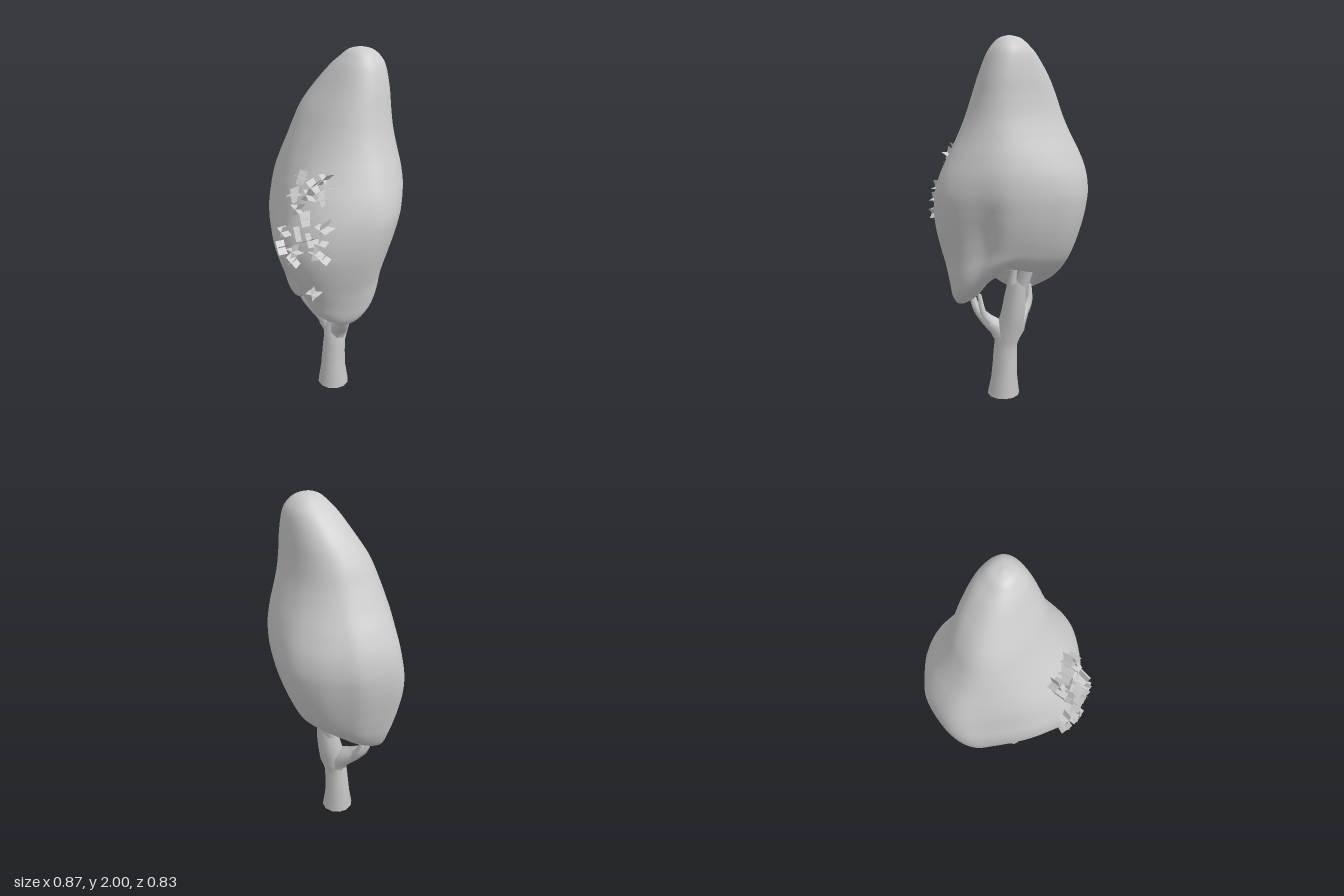
import * as THREE from 'three';
import { mergeVertices } from 'three/addons/utils/BufferGeometryUtils.js';

const V = (x, y, z) => new THREE.Vector3(x, y, z);
const smooth = (pts, closed) => new THREE.CatmullRomCurve3(pts.map(p => V(...p)), closed, 'catmullrom');

// Canopy cross-sections from the hollow underside to the top: y, xMin, xMax, zMin, zMax
const SECTIONS = [
  [0.74, 0, 0, -0.03, -0.03], [0.69, -0.10, 0.12, -0.10, 0.07], [0.61, -0.16, 0.20, -0.16, 0.14],
  [0.57, -0.23, 0.28, -0.21, 0.22], [0.61, -0.295, 0.325, -0.25, 0.26], [0.70, -0.34, 0.345, -0.30, 0.29],
  [0.80, -0.37, 0.36, -0.335, 0.33], [0.90, -0.395, 0.385, -0.362, 0.36], [1.00, -0.417, 0.41, -0.384, 0.375],
  [1.10, -0.432, 0.428, -0.40, 0.367], [1.20, -0.435, 0.435, -0.408, 0.337], [1.30, -0.416, 0.415, -0.395, 0.295],
  [1.40, -0.372, 0.375, -0.36, 0.242], [1.50, -0.315, 0.33, -0.317, 0.19], [1.60, -0.263, 0.293, -0.282, 0.143],
  [1.70, -0.215, 0.267, -0.264, 0.10], [1.80, -0.15, 0.245, -0.255, 0.05], [1.90, -0.065, 0.213, -0.24, 0.00],
  [1.95, -0.01, 0.183, -0.217, -0.035], [1.985, 0.035, 0.143, -0.178, -0.07], [2.00, 0.09, 0.09, -0.12, -0.12],
];
// Widest outline seen from above, from +x towards +z
const OUTLINE = [
  [0.435, 0.03], [0.41, 0.12], [0.32, 0.25], [0.22, 0.33], [0.1, 0.365], [0, 0.345], [-0.13, 0.29],
  [-0.3, 0.175], [-0.4, 0.1], [-0.435, 0], [-0.41, -0.16], [-0.35, -0.25], [-0.25, -0.35], [-0.11, -0.41],
  [0.05, -0.38], [0.2, -0.32], [0.3, -0.25], [0.37, -0.16], [0.42, -0.06],
];
// Height of the lower rim every 30 degrees: two front lobes, raised back
const RIM = smooth([0.63, 0.555, 0.59, 0.665, 0.605, 0.565, 0.615, 0.68, 0.74, 0.775, 0.795, 0.73]
  .map(y => [0, y, 0]), true);

const bump = (d, w) => Math.exp(-(d * d) / (w * w));
const soften = v => Math.sign(v) * Math.abs(v) ** 0.84;

function canopyGeometry() {
  const around = 96, rows = 100, turn = Math.PI * 2;
  const xs = smooth(SECTIONS.map(s => [s[1], s[0], s[2]]));
  const zs = smooth(SECTIONS.map(s => [s[3], s[0], s[4]]));
  const outline = smooth(OUTLINE.map(([x, z]) => [x / 0.435, 0, (z + 0.0225) / 0.3875]), true);
  const pos = [], index = [];
  for (let j = 0; j <= rows; j++) {
    const X = xs.getPoint(j / rows), Z = zs.getPoint(j / rows), y = X.y;
    const width = X.z - X.x;
    const low = THREE.MathUtils.clamp((1.25 - y) / 0.68, 0, 1) ** 1.6 * THREE.MathUtils.smoothstep(width, -0.1, 0.45);
    const round = THREE.MathUtils.smoothstep(y, 1.15, 1.75);
    for (let i = 0; i < around; i++) {
      const p = outline.getPoint(i / around), a = Math.atan2(p.z, p.x);
      // The upper part is a rounded square, drawn out a little to the back right
      p.lerp(V(soften(Math.cos(a + 0.06)), 0, soften(Math.sin(a - 0.06))), round);
      // Front valley between the lobes and the slanting fold on the back right
      const fold = a + 0.62 - 0.45 * THREE.MathUtils.clamp(1.1 - y, 0, 0.4);
      const k = 1 - 0.11 * bump(a - 1.7, 0.42) * bump(y - 0.68, 0.17)
        - 0.11 * bump(fold, 0.26) * bump(y - 0.92, 0.28);
      pos.push(
        (X.x + X.z) / 2 + (width / 2) * p.x * k,
        y + (RIM.getPoint((a / turn + 1) % 1).y - 0.57) * low,
        (Z.x + Z.z) / 2 + ((Z.z - Z.x) / 2) * p.z * k);
      if (j < rows) {
        const b = j * around, n = (i + 1) % around;
        index.push(b + i, b + around + i, b + n, b + n, b + around + i, b + around + n);
      }
    }
  }
  const raw = new THREE.BufferGeometry();
  raw.setAttribute('position', new THREE.Float32BufferAttribute(pos, 3));
  raw.setIndex(index);
  const g = mergeVertices(raw, 1e-5);
  g.computeVertexNormals();
  return g;
}

// Tapered tube along a curve, closed at its tip
function limbGeometry(points, radii, sides, seg = 20) {
  const curve = smooth(points);
  const g = new THREE.TubeGeometry(curve, seg, 1, sides, false);
  const p = g.attributes.position, v = V(0, 0, 0);
  for (let i = 0; i <= seg; i++) {
    const c = curve.getPointAt(i / seg);
    const f = (i / seg) * (radii.length - 1), n = Math.min(Math.floor(f), radii.length - 2);
    const r = i === seg ? 0 : THREE.MathUtils.lerp(radii[n], radii[n + 1], f - n);
    for (let s = 0; s <= sides; s++) {
      const k = i * (sides + 1) + s;
      v.fromBufferAttribute(p, k).sub(c).multiplyScalar(r).add(c);
      p.setXYZ(k, v.x, i === 0 ? points[0][1] : v.y, v.z);
    }
  }
  return g;
}

export function createModel() {
  const model = new THREE.Group();
  const grey = new THREE.MeshStandardMaterial({ color: 0xcccccc });
  const thin = new THREE.MeshStandardMaterial({ color: 0xcccccc, side: THREE.DoubleSide });
  const add = (name, geometry, material = grey, parent = model) => {
    const m = new THREE.Mesh(geometry, material);
    m.name = name;
    parent.add(m);
    return m;
  };

  // Canopy
  const canopy = canopyGeometry();
  add('canopy', canopy);

  // Trunk, leaning back as it rises
  add('trunk', limbGeometry(
    [[0.035, 0, 0.005], [0.03, 0.15, 0], [0.03, 0.3, -0.01], [0.025, 0.4, -0.035], [0.018, 0.52, -0.067], [0.015, 0.7, -0.095]],
    [0.092, 0.076, 0.07, 0.066, 0.076, 0.068, 0.062, 0.05], 12, 28));
  const base = add('trunkBase', new THREE.CircleGeometry(0.092, 12));
  base.rotation.x = Math.PI / 2;
  base.position.set(0.035, 0.001, 0.005);

  // Branches
  const branches = [
    ['leftFork', [[0.0, 0.58, -0.075], [-0.02, 0.7, -0.11], [-0.035, 0.82, -0.145]], [0.045, 0.036, 0.034]],
    ['rightFork', [[0.03, 0.6, -0.075], [0.04, 0.69, -0.085], [0.03, 0.79, -0.1]], [0.035, 0.022, 0.014]],
    ['innerBranch', [[0.03, 0.31, -0.02], [-0.03, 0.415, -0.015], [-0.11, 0.475, 0.02], [-0.165, 0.535, 0.055], [-0.175, 0.64, 0.09]], [0.05, 0.066, 0.045, 0.025, 0.016]],
    ['innerTwig', [[-0.11, 0.46, 0.01], [-0.16, 0.53, 0.02], [-0.175, 0.65, 0.04]], [0.035, 0.02, 0.012]],
    ['outerBranch', [[0.03, 0.3, -0.02], [0.075, 0.4, -0.005], [0.135, 0.465, 0.03], [0.18, 0.54, 0.07], [0.19, 0.64, 0.1]], [0.05, 0.054, 0.036, 0.022, 0.015]],
    ['outerTwig', [[0.1, 0.42, 0], [0.155, 0.5, 0.025], [0.175, 0.62, 0.045]], [0.035, 0.018, 0.012]],
  ];
  for (const [name, path, radii] of branches) add(name, limbGeometry(path, radii, 8));

  // Leaf tufts: crossed square cards standing on the front of the canopy
  const tufts = [
    [0.08, 1.40], [0.16, 1.38], [0.235, 1.38], [0.2, 1.41], [0.07, 1.32], [0.155, 1.33], [0.22, 1.33],
    [0.12, 1.26], [0.18, 1.23], [0.07, 1.14], [0.155, 1.15], [0.27, 1.2], [0.22, 1.13], [0.265, 1.13],
    [0.06, 1.05], [0.15, 1.06], [0.14, 1.01], [0.25, 1.06], [0.28, 1.05], [0.2, 0.81],
  ];
  const card = new THREE.PlaneGeometry(0.075, 0.075);
  card.rotateX(Math.PI / 2);
  const P = canopy.attributes.position, N = canopy.attributes.normal;
  const leaves = new THREE.Group();
  leaves.name = 'leaves';
  model.add(leaves);
  tufts.forEach(([x, y], t) => {
    // Nearest canopy vertex on the front side
    let best = 0, dist = Infinity;
    for (let i = 0; i < P.count; i++) {
      const d = (P.getX(i) - x) ** 2 + (P.getY(i) - y) ** 2;
      if (P.getZ(i) > 0.1 && N.getZ(i) > 0.2 && d < dist) { dist = d; best = i; }
    }
    const axis = V(0, 0, 0).fromBufferAttribute(N, best).lerp(V(0, 0, 1), 0.6)
      .add(V(0.2 * Math.sin(t * 2.1), 0.25 * Math.cos(t * 3.7), 0)).normalize();
    const tuft = new THREE.Group();
    tuft.name = 'leafTuft';
    tuft.position.set(x, y, P.getZ(best) + 0.01 + 0.04 * Math.max(0, y - 1.1));
    tuft.quaternion.setFromUnitVectors(V(0, 0, 1), axis);
    tuft.rotateZ(t * 2.4);
    for (const turn of [0, Math.PI / 2]) add('leafCard', card, thin, tuft).rotation.z = turn;
    leaves.add(tuft);
  });
  return model;
}
